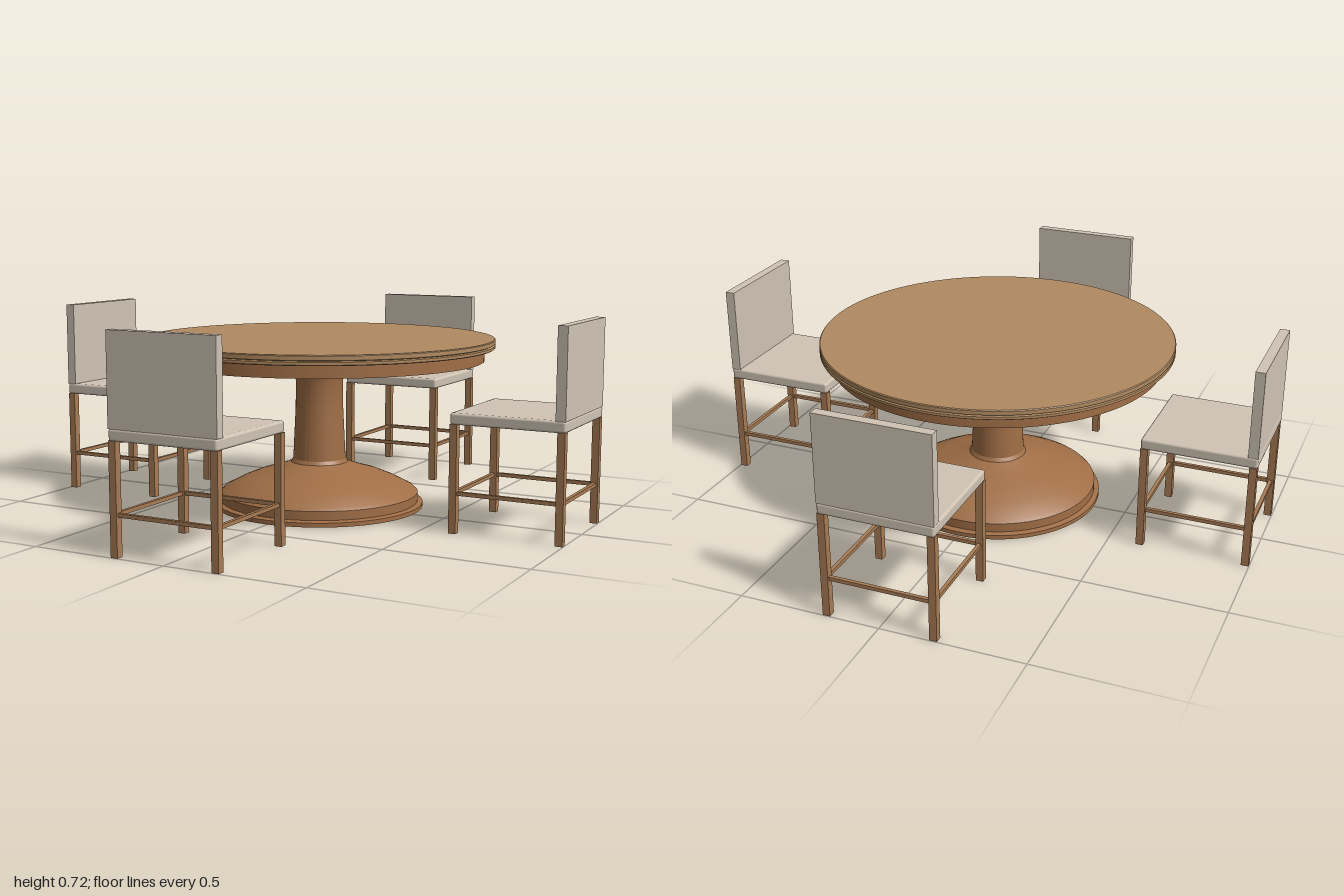
import * as THREE from 'three';
import { RoundedBoxGeometry } from 'three/addons/geometries/RoundedBoxGeometry.js';
import { toCreasedNormals } from 'three/addons/utils/BufferGeometryUtils.js';

const tableWood = new THREE.MeshStandardMaterial({ color: 0xa06e46 });
const topWood = new THREE.MeshStandardMaterial({ color: 0xb08a60 });
const chairWood = new THREE.MeshStandardMaterial({ color: 0xa87c54 });
const fabric = new THREE.MeshStandardMaterial({ color: 0xd0c4b4 });

function add(parent, name, geometry, material, x = 0, y = 0, z = 0) {
  const mesh = new THREE.Mesh(geometry, material);
  mesh.name = name;
  mesh.position.set(x, y, z);
  parent.add(mesh);
  return mesh;
}

// Turned part from [radius, height] pairs, bottom to top
function turned(profile) {
  const points = profile.map(([r, y]) => new THREE.Vector2(r, y));
  return toCreasedNormals(new THREE.LatheGeometry(points, 96), 0.5);
}

function createTable() {
  const table = new THREE.Group();
  table.name = 'table';

  // Round top with a fine groove around its edge
  add(table, 'tableTop', turned([
    [0, 0.585], [0.63, 0.585], [0.635, 0.588], [0.635, 0.597], [0.628, 0.6],
    [0.635, 0.603], [0.635, 0.617], [0.632, 0.62], [0, 0.62],
  ]), topWood);

  // Solid apron under the top
  add(table, 'apron', turned([[0, 0.54], [0.597, 0.54], [0.597, 0.586], [0, 0.586]]), tableWood);

  // Pedestal: stepped foot, sloping skirt, tapered column and flared head
  add(table, 'pedestal', turned([
    [0, 0], [0.38, 0], [0.38, 0.015], [0.362, 0.02], [0.362, 0.052], [0.352, 0.062],
    [0.29, 0.094], [0.23, 0.119], [0.18, 0.134], [0.13, 0.151], [0.104, 0.162],
    [0.096, 0.175], [0.092, 0.26], [0.087, 0.36], [0.086, 0.46],
    [0.092, 0.49], [0.104, 0.515], [0.122, 0.541],
  ]), tableWood);
  return table;
}

// Chair facing -z, its backrest on the outer side at z = 1
function createChair() {
  const chair = new THREE.Group();
  chair.name = 'chair';
  const legSize = 0.026, legX = 0.187, nearZ = 0.613, farZ = 0.985;
  const midZ = (nearZ + farZ) / 2;

  add(chair, 'seat', new RoundedBoxGeometry(0.4, 0.04, 0.4, 2, 0.009), fabric, 0, 0.39, 0.8);
  add(chair, 'backrest', new THREE.BoxGeometry(0.4, 0.307, 0.034), fabric, 0, 0.5615, 0.982);

  for (const z of [nearZ, farZ]) {
    for (const side of [-1, 1]) {
      add(chair, 'leg', new THREE.BoxGeometry(legSize, 0.372, legSize), chairWood, side * legX, 0.186, z);
    }
    add(chair, 'crossStretcher', new THREE.BoxGeometry(2 * legX, 0.013, 0.013), chairWood, 0, 0.137, z);
  }
  for (const side of [-1, 1]) {
    add(chair, 'sideStretcher', new THREE.BoxGeometry(0.013, 0.013, farZ - nearZ), chairWood, side * legX, 0.137, midZ);
  }
  return chair;
}

export function createModel() {
  const model = new THREE.Group();
  model.name = 'diningSet';
  model.add(createTable());
  // Four chairs, a quarter turn apart
  for (let i = 0; i < 4; i++) {
    const chair = createChair();
    chair.rotation.y = i * Math.PI / 2;
    model.add(chair);
  }
  return model;
}
